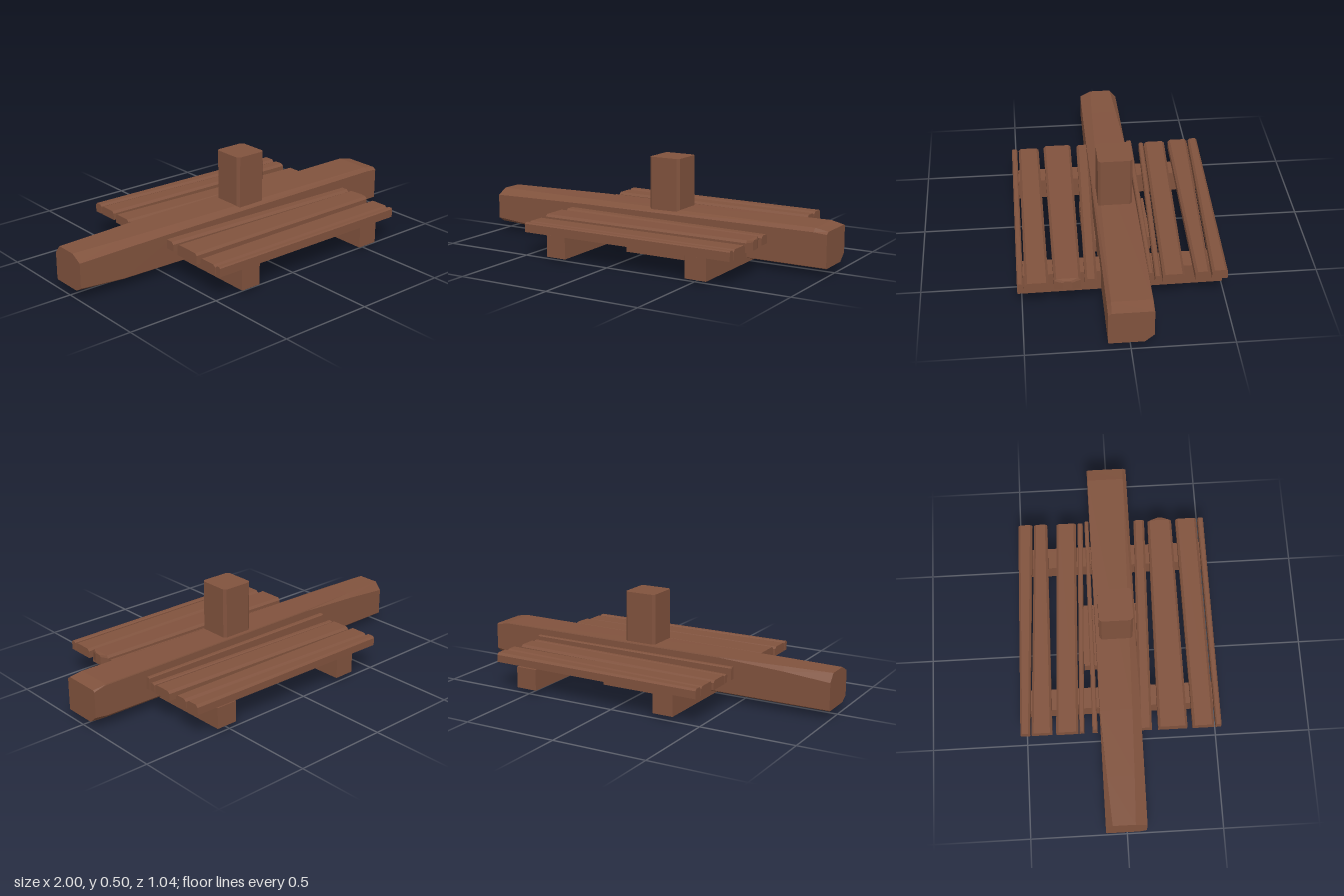
import * as THREE from 'three';

const wood = new THREE.MeshStandardMaterial({ color: 0x80523d, flatShading: true });

// Skin over cross-sections [x, [[z, y], ...]] running toward +x, with capped ends.
function loft(sections) {
  const n = sections[0][1].length;
  const rings = sections.map(([x, pts]) => pts.map(([z, y]) => [x, y, z]));
  const pos = [];
  const tri = (a, b, c) => pos.push(...a, ...b, ...c);
  for (let i = 0; i < rings.length - 1; i++) {
    const A = rings[i], B = rings[i + 1];
    for (let j = 0; j < n; j++) {
      const k = (j + 1) % n;
      tri(A[j], A[k], B[j]);
      tri(A[k], B[k], B[j]);
    }
  }
  const first = rings[0], last = rings[rings.length - 1];
  for (let j = 1; j < n - 1; j++) {
    tri(last[0], last[j], last[j + 1]);
    tri(first[0], first[j + 1], first[j]);
  }
  const geo = new THREE.BufferGeometry();
  geo.setAttribute('position', new THREE.Float32BufferAttribute(pos, 3));
  geo.computeVertexNormals();
  return geo;
}

function add(group, name, geo) {
  const mesh = new THREE.Mesh(geo, wood);
  mesh.name = name;
  group.add(mesh);
  return mesh;
}

function addBox(group, name, [x0, x1], [y0, y1], [z0, z1]) {
  const mesh = add(group, name, new THREE.BoxGeometry(x1 - x0, y1 - y0, z1 - z0));
  mesh.position.set((x0 + x1) / 2, (y0 + y1) / 2, (z0 + z1) / 2);
}

// Plank outline between z0 (back) and z1 (front) with worn top edges.
function plankSection(z0, z1, y0, y1) {
  const c = Math.min(0.012, (z1 - z0) * 0.2);
  return [[z1, y0], [z0, y0], [z0, y1 - c], [z0 + c, y1], [z1 - c, y1], [z1, y1 - c]];
}

export function createModel() {
  const model = new THREE.Group();
  model.name = 'timberPlatform';

  // Hewn main beam with tapering chamfers
  add(model, 'mainBeam', loft([
    [-1, [[0.10, 0.07], [0.06, 0.045], [-0.105, 0.045], [-0.11, 0.05], [-0.11, 0.19], [-0.075, 0.232], [0.04, 0.232], [0.10, 0.20]]],
    [-0.75, [[0.102, 0.05], [0.095, 0.044], [-0.105, 0.044], [-0.11, 0.05], [-0.11, 0.21], [-0.09, 0.232], [0.05, 0.232], [0.102, 0.205]]],
    [-0.4, [[0.104, 0.046], [0.10, 0.043], [-0.10, 0.043], [-0.11, 0.05], [-0.11, 0.228], [-0.108, 0.233], [0.06, 0.233], [0.104, 0.21]]],
    [0.93, [[0.108, 0.044], [0.105, 0.041], [-0.075, 0.041], [-0.11, 0.07], [-0.11, 0.23], [-0.108, 0.235], [0.088, 0.234], [0.108, 0.215]]],
    [1, [[0.108, 0.044], [0.105, 0.041], [-0.065, 0.041], [-0.11, 0.08], [-0.11, 0.215], [-0.10, 0.222], [0.092, 0.222], [0.108, 0.21]]],
  ]));

  // Upright post with bevelled vertical corners
  const c = 0.013, x0 = -0.01, x1 = 0.167, z0 = -0.09, z1 = 0.086;
  const outline = new THREE.Shape([
    [x0 + c, -z1], [x1 - c, -z1], [x1, -z1 + c], [x1, -z0 - c],
    [x1 - c, -z0], [x0 + c, -z0], [x0, -z0 - c], [x0, -z1 + c],
  ].map(([x, y]) => new THREE.Vector2(x, y)));
  const post = add(model, 'post', new THREE.ExtrudeGeometry(outline, { depth: 0.32, bevelEnabled: false }));
  post.rotation.x = -Math.PI / 2;
  post.position.y = 0.18;

  // Cross bearers, tilted slightly toward the front
  for (const [side, a, b] of [['right', -0.352, -0.24], ['left', 0.457, 0.573]]) {
    const geo = new THREE.BoxGeometry(b - a, 0.112, 1.02);
    const p = geo.attributes.position;
    for (let i = 0; i < p.count; i++) p.setY(i, p.getY(i) - p.getZ(i) * 0.008);
    geo.computeVertexNormals();
    add(model, side + 'Bearer', geo).position.set((a + b) / 2, 0.075, 0.01);
  }

  // Foot block under the beam
  addBox(model, 'footBlock', [-0.098, 0.25], [0, 0.075], [-0.178, 0.17]);

  // Deck planks: back and front z at the -x end, then at the +x end, then heights
  const planks = [
    [-0.525, -0.475, -0.502, -0.425, 0.143, 0.193],
    [-0.468, -0.36, -0.415, -0.343, 0.143, 0.19],
    [-0.34, -0.225, -0.292, -0.185, 0.135, 0.184],
    [-0.22, -0.195, -0.175, -0.147, 0.137, 0.18],
    [-0.152, -0.125, -0.137, -0.115, 0.135, 0.20],
    [0.09, 0.157, 0.135, 0.193, 0.137, 0.185],
    [0.37, 0.482, 0.367, 0.482, 0.127, 0.177],
    [0.49, 0.52, 0.49, 0.52, 0.127, 0.177],
  ];
  planks.forEach(([a, b, d, e, low, top], i) => add(model, 'plank' + (i + 1), loft([
    [-0.49, plankSection(a, b, low, top)],
    [0.697, plankSection(d, e, low, top)],
  ])));

  // Broad split plank with a pointed end
  add(model, 'splitPlank', loft([
    [-0.49, plankSection(0.19, 0.342, 0.13, 0.188)],
    [0.688, plankSection(0.212, 0.342, 0.13, 0.19)],
    [0.705, plankSection(0.255, 0.30, 0.135, 0.185)],
  ]));

  return model;
}
